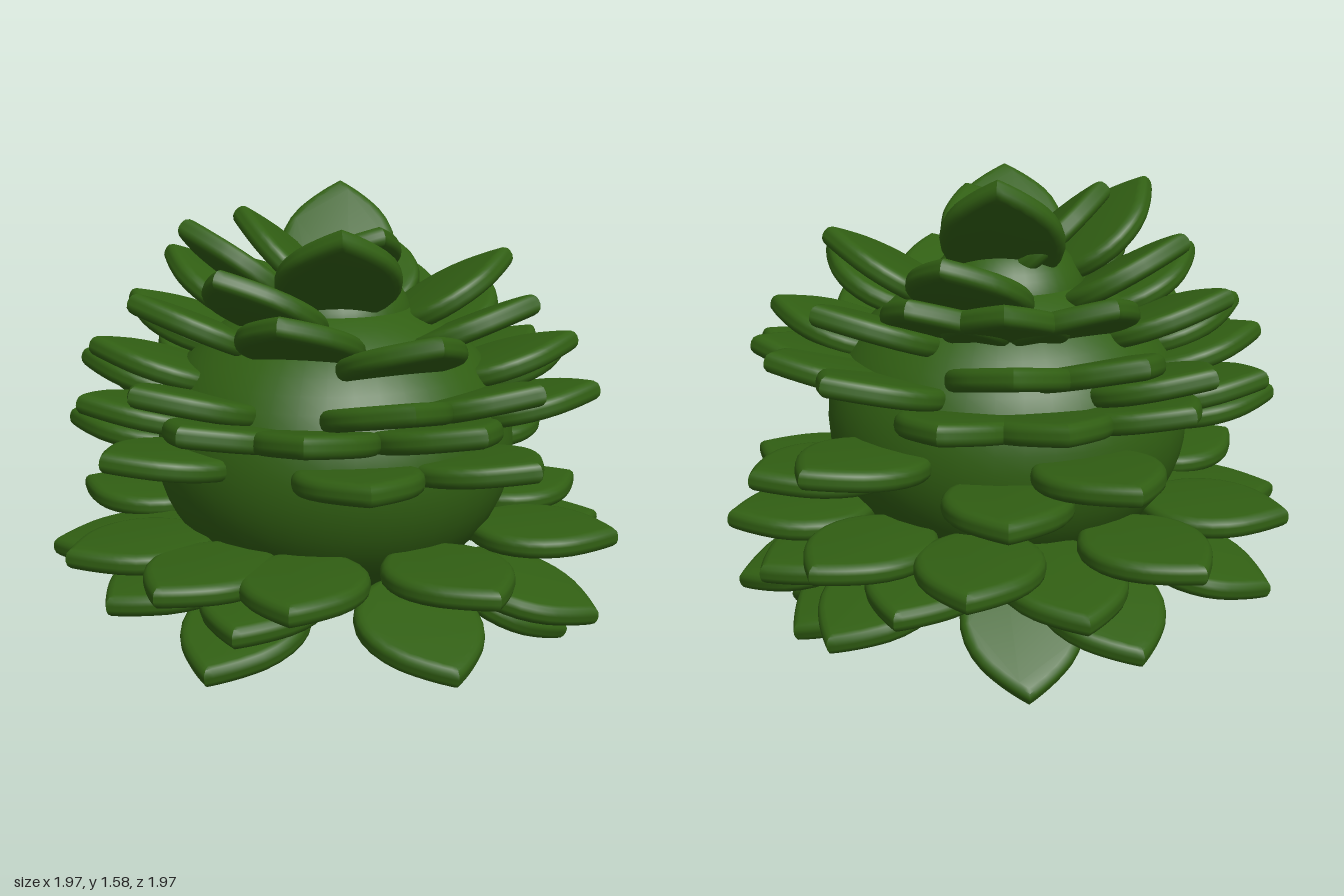
import * as THREE from 'three';
import { toCreasedNormals } from 'three/addons/utils/BufferGeometryUtils.js';

const LEAF_LENGTH = 0.51;
const LEAF_THICKNESS = 0.07;

// Leaf profile by tip height: [height, tip radius, tilt in degrees]
const PROFILE = [
  [0.02, 0.77, -35], [0.22, 0.96, -15], [0.46, 0.99, 1], [0.76, 0.98, 6], [0.8, 0.92, 8],
  [0.95, 0.9, 13], [1.03, 0.86, 16], [1.2, 0.76, 21], [1.36, 0.61, 30], [1.53, 0.52, 40],
];

// Whorls of leaves: tip height and directions in degrees (0 = front, 90 = left side)
const WHORLS = [
  [0.02, [71, 162]],
  [0.08, [50]],
  [0.15, [107]],
  [0.22, [-48, -2, 40, 87, 122, 182, 222]],
  [0.37, [75, 104, 137, 171, 254, 290, 318]],
  [0.46, [-32, 5, 48, 88, 120, 150, 194, 227, 276, 303]],
  [0.68, [102, 157]],
  [0.76, [118, 180]],
  [0.8, [-18, 18, 245, 284]],
  [0.94, [-30, 5, 54, 144, 168, 195, 225, 270, 305]],
  [1.02, [-9, 23, 80, 95, 117, 204, 246, 290]],
  [1.09, [61, 158, 187, 257]],
  [1.19, [0, 105, 228]],
  [1.25, [42, 132, 156, 184, 268, 322]],
  [1.36, [72, 138, 230, 299]],
  [1.49, [-22, 271]],
];

// Small leaves at the crown: [direction, tip height, tip radius, tilt]
const CROWN = [[9, 1.46, 0.29, 28], [242, 1.51, 0.33, 42], [152, 1.57, 0.38, 48]];

function profileAt(y) {
  let i = 0;
  while (i < PROFILE.length - 2 && y > PROFILE[i + 1][0]) i++;
  const [a, b] = [PROFILE[i], PROFILE[i + 1]];
  const t = (y - a[0]) / (b[0] - a[0]);
  return [1, 2].map((k) => THREE.MathUtils.lerp(a[k], b[k], t));
}

// Thick rounded leaf with a pointed tip at the origin, pointing to +z
function leafGeometry() {
  const L = LEAF_LENGTH, bevel = 0.028;
  const shape = new THREE.Shape();
  shape.moveTo(0, 0);
  shape.quadraticCurveTo(0.085, -0.055, 0.145, -0.125);
  shape.bezierCurveTo(0.22, -0.22, 0.23, -0.36, 0.13, -0.45);
  shape.quadraticCurveTo(0.07, -L, 0, -L);
  shape.quadraticCurveTo(-0.07, -L, -0.13, -0.45);
  shape.bezierCurveTo(-0.23, -0.36, -0.22, -0.22, -0.145, -0.125);
  shape.quadraticCurveTo(-0.085, -0.055, 0, 0);
  const depth = LEAF_THICKNESS - 2 * bevel;
  const geometry = new THREE.ExtrudeGeometry(shape, {
    depth, curveSegments: 7, bevelEnabled: true, bevelSegments: 3,
    bevelThickness: bevel, bevelSize: bevel, bevelOffset: -bevel,
  });
  geometry.translate(0, 0, -depth / 2);
  geometry.rotateX(Math.PI / 2);
  return toCreasedNormals(geometry, 0.6);
}

export function createModel() {
  const model = new THREE.Group();
  model.name = 'succulent';
  const green = new THREE.MeshStandardMaterial({ color: 0x315f13 });

  // Rounded core with a smaller bud on top
  const addBall = (name, radius, height, y) => {
    const ball = new THREE.Mesh(new THREE.SphereGeometry(radius, 40, 28), green);
    ball.name = name;
    ball.scale.y = height / (2 * radius);
    ball.position.y = y;
    model.add(ball);
  };
  addBall('core', 0.62, 1.04, 0.72);
  addBall('bud', 0.27, 0.46, 1.13);

  const geometry = leafGeometry();
  const addLeaf = (parent, degrees, y, radius, tilt) => {
    const angle = THREE.MathUtils.degToRad(degrees);
    const leaf = new THREE.Mesh(geometry, green);
    leaf.name = 'leaf';
    leaf.rotation.set(-THREE.MathUtils.degToRad(tilt), angle, 0, 'YXZ');
    leaf.position.set(Math.sin(angle) * radius, y, Math.cos(angle) * radius);
    parent.add(leaf);
  };

  // Leaves around the core, drooping below and rising above
  WHORLS.forEach(([y, directions], i) => {
    const whorl = new THREE.Group();
    whorl.name = `leafWhorl${i + 1}`;
    const [radius, tilt] = profileAt(y);
    directions.forEach((d) => addLeaf(whorl, d, y, radius, tilt));
    model.add(whorl);
  });

  // Crown leaves
  const crown = new THREE.Group();
  crown.name = 'crownLeaves';
  CROWN.forEach((args) => addLeaf(crown, ...args));
  model.add(crown);

  return model;
}
